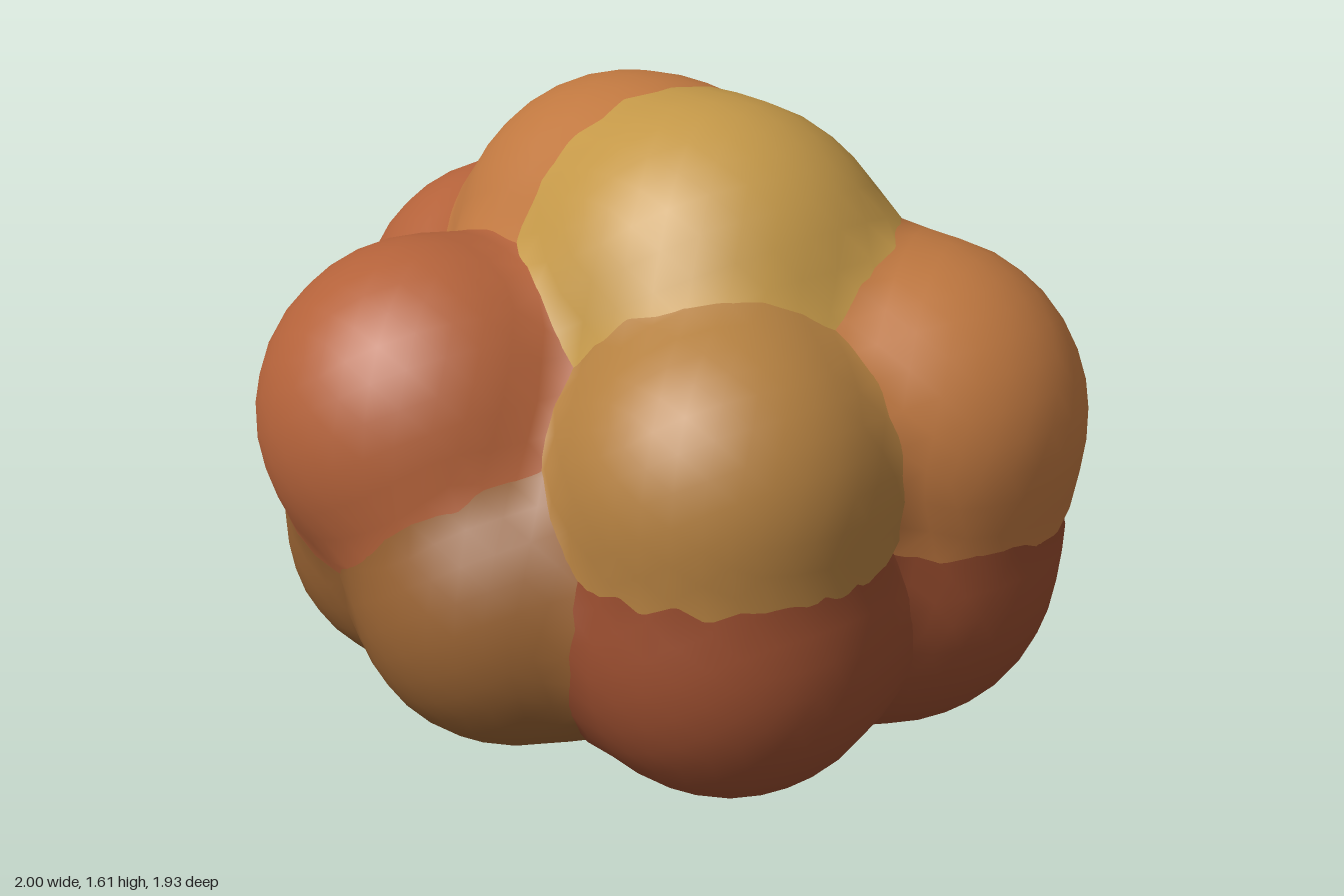
import * as THREE from 'three';

const YELLOW = 0xc49848, OCHRE = 0xb48040, ORANGE = 0xc07840, RUST = 0xb4623a, RED = 0x984c2e, BROWN = 0x986232, DARK = 0x74391f;
const FILLET = 0.15; // reach of the soft filling in the valleys

// Each lobe of the cluster: name, centre x, y, z, radius, colour
const LOBES = [
  ['topLeftLobe', 0.17, 1.15, -0.07, 0.46, YELLOW],
  ['topRightLobe', -0.19, 1.14, -0.12, 0.44, ORANGE],
  ['frontUpperLobe', -0.15, 0.885, 0.53, 0.425, RUST],
  ['frontLowerLobe', 0.12, 0.52, 0.5, 0.39, BROWN],
  ['frontRightLowerLobe', -0.3, 0.51, 0.44, 0.36, BROWN],
  ['rightUpperLobe', -0.6, 0.86, -0.06, 0.4, RUST],
  ['rightLowerLobe', -0.6, 0.5, 0.12, 0.4, RED],
  ['leftFrontUpperLobe', 0.54, 0.86, 0.21, 0.4, OCHRE],
  ['leftFrontLowerLobe', 0.56, 0.49, 0.21, 0.41, RED],
  ['leftBackUpperLobe', 0.57, 0.88, -0.35, 0.43, ORANGE],
  ['leftBackLowerLobe', 0.55, 0.51, -0.31, 0.42, RED],
  ['backUpperLobe', -0.22, 0.85, -0.56, 0.41, ORANGE],
  ['backRightLowerLobe', -0.32, 0.51, -0.57, 0.4, BROWN],
  ['backLeftLowerLobe', 0.16, 0.53, -0.59, 0.38, OCHRE],
  ['bottomLobe', 0, 0.6, -0.06, 0.6, DARK],
].map(([name, x, y, z, radius, color]) => ({ name, center: new THREE.Vector3(x, y, z), radius, color }));

// Distance from a point to the surface of a lobe, negative inside
const gapTo = (point, { center, radius }) => point.distanceTo(center) - radius;

// Height of the filling where a lobe meets its neighbours
function filling(point, self) {
  let height = 0;
  for (const other of LOBES) {
    if (other === self) continue;
    const reach = Math.max(0, FILLET - Math.abs(gapTo(point, other)));
    height = Math.max(height, reach * reach / (4 * FILLET));
  }
  return height;
}

// Normal at a point, softly mixed from every lobe whose surface is close by
function blendedNormal(point) {
  const normal = new THREE.Vector3(), direction = new THREE.Vector3();
  for (const other of LOBES) {
    direction.subVectors(point, other.center).normalize();
    normal.addScaledVector(direction, Math.exp(-22 * Math.max(gapTo(point, other), 0)));
  }
  return normal.normalize();
}

// A ball that swells and turns its normals where it flows into its neighbours
function lobe(spec) {
  const geometry = new THREE.IcosahedronGeometry(spec.radius, 5);
  const { position, normal } = geometry.attributes;
  const point = new THREE.Vector3(), outward = new THREE.Vector3();
  for (let i = 0; i < position.count; i++) {
    outward.fromBufferAttribute(position, i).normalize();
    point.copy(spec.center).addScaledVector(outward, spec.radius);
    const n = blendedNormal(point);
    point.addScaledVector(outward, filling(point, spec)).sub(spec.center);
    position.setXYZ(i, point.x, point.y, point.z);
    normal.setXYZ(i, n.x, n.y, n.z);
  }
  const mesh = new THREE.Mesh(geometry, new THREE.MeshStandardMaterial({ color: spec.color }));
  mesh.name = spec.name;
  mesh.position.copy(spec.center);
  return mesh;
}

export function createModel() {
  const group = new THREE.Group();
  group.name = 'lobedCluster';
  LOBES.forEach((spec) => group.add(lobe(spec)));
  return group;
}
